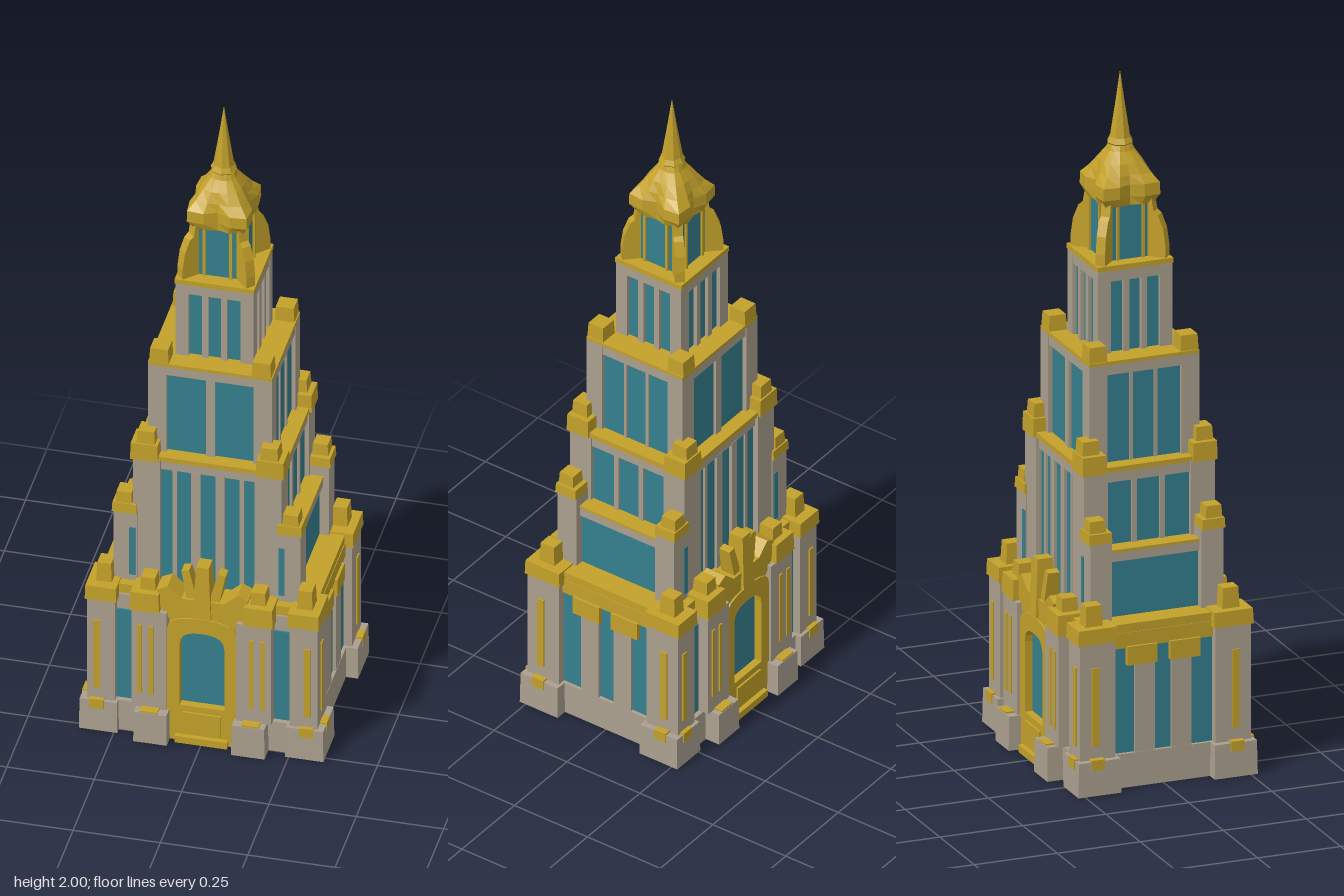
import * as THREE from 'three';

export function createModel() {
  const tower = new THREE.Group();
  tower.name = 'tower';
  const mat = (name, color) => {
    const m = new THREE.MeshStandardMaterial({ color });
    m.name = name;
    return m;
  };
  const stone = mat('stone', 0xaca08f);
  const gold = mat('gold', 0xc3a12a);
  const teal = mat('teal glass', 0x35808e);

  // Adds a faceted mesh
  const add = (parent, name, geo, material) => {
    const g = geo.index ? geo.toNonIndexed() : geo;
    g.computeVertexNormals();
    const m = new THREE.Mesh(g, material);
    m.name = name;
    parent.add(m);
    return m;
  };
  // Box from extents, with optional narrowing toward the top
  const box = (name, material, [x0, x1], [y0, y1], [z0, z1], taper = 1, parent = tower) => {
    const g = new THREE.BoxGeometry(x1 - x0, y1 - y0, z1 - z0);
    const p = g.attributes.position;
    for (let i = 0; i < p.count; i++) {
      if (p.getY(i) > 0) p.setXYZ(i, p.getX(i) * taper, p.getY(i), p.getZ(i) * taper);
    }
    const m = add(parent, name, g, material);
    m.position.set((x0 + x1) / 2, (y0 + y1) / 2, (z0 + z1) / 2);
    return m;
  };
  const core = (name, material, x, y, z) => box(name, material, [-x, x], y, [-z, z]);
  const flip = ([a, b], s) => (s > 0 ? [a, b] : [-b, -a]);
  // The same box in all four quadrants
  const quad = (name, material, x, y, z, taper) => {
    for (const sx of [1, -1]) for (const sz of [1, -1]) box(name, material, flip(x, sx), y, flip(z, sz), taper);
  };
  // The same box on front and back, or on left and right
  const frontBack = (name, material, x, y, z) => [1, -1].forEach(s => box(name, material, x, y, flip(z, s)));
  const sides = (name, material, x, y, z) => [1, -1].forEach(s => box(name, material, flip(x, s), y, z));

  // Ground storey
  core('groundBody', stone, 0.3, [0, 0.45], 0.23);
  core('groundRoof', gold, 0.31, [0.45, 0.48], 0.225);
  sides('sidePlinth', stone, [0.29, 0.315], [0, 0.1], [-0.16, 0.16]);
  sides('sideWindow', teal, [0.3, 0.305], [0.1, 0.41], [-0.155, 0.155]);
  sides('sideBand', gold, [0.29, 0.312], [0.41, 0.455], [-0.155, 0.155]);
  quad('sideMullion', stone, [0.29, 0.314], [0.1, 0.38], [0.025, 0.085]);
  quad('sideCapital', gold, [0.29, 0.32], [0.36, 0.415], [0.02, 0.11]);
  quad('frontWindow', teal, [0.2, 0.255], [0.1, 0.4], [0.228, 0.235]);
  quad('frontWindowSill', stone, [0.18, 0.26], [0, 0.1], [0.2, 0.25]);

  // Corner piers
  quad('cornerPlinth', stone, [0.24, 0.35], [0, 0.1], [0.14, 0.27], 0.97);
  quad('cornerPier', stone, [0.25, 0.33], [0.1, 0.44], [0.15, 0.258]);
  quad('cornerCap', gold, [0.245, 0.335], [0.44, 0.485], [0.145, 0.264], 0.97);
  quad('cornerPinnacle', gold, [0.265, 0.31], [0.48, 0.545], [0.18, 0.232], 0.88);
  quad('cornerStripe', gold, [0.292, 0.31], [0.14, 0.37], [0.257, 0.262]);
  quad('cornerSideStripe', gold, [0.329, 0.334], [0.14, 0.37], [0.2, 0.222]);
  quad('cornerFoot', gold, [0.28, 0.32], [0.075, 0.105], [0.257, 0.271]);
  quad('cornerSideFoot', gold, [0.33, 0.35], [0.075, 0.105], [0.19, 0.23]);

  // Piers beside the portals
  quad('portalPlinth', stone, [0.092, 0.188], [0, 0.1], [0.2, 0.297], 0.97);
  quad('portalPier', stone, [0.1, 0.2], [0.1, 0.43], [0.2, 0.268]);
  quad('portalPierCap', gold, [0.12, 0.205], [0.43, 0.49], [0.18, 0.272], 0.95);
  quad('portalPinnacle', gold, [0.135, 0.18], [0.48, 0.53], [0.2, 0.25], 0.9);
  quad('portalStripe', gold, [0.137, 0.15], [0.15, 0.38], [0.267, 0.272]);
  quad('portalStripe', gold, [0.17, 0.183], [0.15, 0.38], [0.267, 0.272]);
  quad('portalFoot', gold, [0.12, 0.17], [0.075, 0.105], [0.268, 0.294]);

  // Arched portal with canopy and crest, on front and back
  const archPath = (P, w, y0, top) => {
    const p = new P();
    p.moveTo(-w, y0);
    p.lineTo(w, y0);
    p.lineTo(w, top - 0.045);
    p.bezierCurveTo(w, top - 0.01, w * 0.6, top, 0, top);
    p.bezierCurveTo(-w * 0.6, top, -w, top - 0.01, -w, top - 0.045);
    p.lineTo(-w, y0);
    return p;
  };
  const extrude = (shape, depth) =>
    new THREE.ExtrudeGeometry(shape, { depth, bevelEnabled: false, curveSegments: 5 });
  for (const turn of [0, Math.PI]) {
    const portal = new THREE.Group();
    portal.name = 'portal';
    portal.rotation.y = turn;
    tower.add(portal);
    const frame = archPath(THREE.Shape, 0.1, 0, 0.42);
    frame.holes.push(archPath(THREE.Path, 0.064, 0.12, 0.372));
    add(portal, 'portalFrame', extrude(frame, 0.035), gold).position.z = 0.225;
    add(portal, 'portalGlass', extrude(archPath(THREE.Shape, 0.064, 0.12, 0.372), 0.008), teal).position.z = 0.229;
    box('doorPanel', gold, [-0.055, 0.055], [0.03, 0.1], [0.25, 0.266], 1, portal);
    box('doorStep', gold, [-0.075, 0.075], [0, 0.022], [0.25, 0.275], 1, portal);
    const swag = new THREE.Shape([
      [-0.13, 0.5], [-0.12, 0.44], [-0.09, 0.4], [-0.05, 0.39], [0.05, 0.39], [0.09, 0.4],
      [0.12, 0.44], [0.13, 0.5], [0.1, 0.515], [0.06, 0.48], [-0.06, 0.48], [-0.1, 0.515],
    ].map(([x, y]) => new THREE.Vector2(x, y)));
    add(portal, 'canopy', extrude(swag, 0.065), gold).position.z = 0.19;
    for (const [x, y, h, lean] of [[0, 0.51, 0.17, 0], [-0.038, 0.505, 0.13, 0.22], [0.038, 0.505, 0.13, -0.22]]) {
      const w = x ? 0.016 : 0.026;
      const leaf = box('crestLeaf', gold, [x - w, x + w], [y - h / 2, y + h / 2], [0.2, x ? 0.25 : 0.265], 0.7, portal);
      leaf.rotation.z = lean;
    }
  }

  // Second storey: side steps
  core('secondGlass', teal, 0.24, [0.48, 0.66], 0.145);
  core('secondLintel', stone, 0.25, [0.645, 0.672], 0.15);
  core('secondRoof', gold, 0.252, [0.672, 0.68], 0.152);
  quad('secondPier', stone, [0.2, 0.268], [0.47, 0.71], [0.135, 0.2]);
  quad('secondCap', gold, [0.2, 0.272], [0.71, 0.74], [0.135, 0.205], 0.95);
  quad('secondPinnacle', gold, [0.215, 0.262], [0.735, 0.775], [0.15, 0.2], 0.9);
  quad('secondSlit', teal, [0.205, 0.222], [0.5, 0.66], [0.199, 0.203]);

  // Third storey
  core('thirdGlass', teal, 0.2, [0.48, 0.88], 0.18);
  core('thirdLintel', stone, 0.208, [0.865, 0.895], 0.188);
  core('thirdRoof', gold, 0.212, [0.895, 0.91], 0.194);
  quad('thirdPier', stone, [0.135, 0.213], [0.48, 0.9], [0.125, 0.197]);
  quad('thirdCap', gold, [0.14, 0.22], [0.895, 0.95], [0.13, 0.203], 0.96);
  quad('thirdPinnacle', gold, [0.15, 0.203], [0.945, 0.99], [0.145, 0.197], 0.9);
  quad('thirdMullion', stone, [0.022, 0.048], [0.48, 0.87], [0.17, 0.189]);
  quad('thirdThinMullion', stone, [0.09, 0.102], [0.48, 0.87], [0.17, 0.186]);
  quad('thirdSideMullion', stone, [0.19, 0.207], [0.67, 0.87], [0.035, 0.05]);

  // Fourth storey
  core('fourthGlass', teal, 0.166, [0.9, 1.18], 0.152);
  core('fourthLintel', stone, 0.176, [1.17, 1.2], 0.162);
  core('fourthRoof', gold, 0.178, [1.2, 1.21], 0.165);
  quad('fourthPier', stone, [0.125, 0.178], [0.9, 1.2], [0.112, 0.165]);
  quad('fourthPinnacle', gold, [0.118, 0.175], [1.2, 1.255], [0.11, 0.165], 0.9);
  frontBack('fourthMullion', stone, [-0.013, 0.013], [0.9, 1.18], [0.14, 0.16]);
  quad('fourthSideMullion', stone, [0.15, 0.171], [0.91, 1.18], [0.032, 0.042]);

  // Fifth storey: three slender windows per face
  core('fifthGlass', teal, 0.1, [1.2, 1.43], 0.1);
  core('fifthLintel', stone, 0.111, [1.42, 1.452], 0.111);
  core('fifthRoof', gold, 0.114, [1.452, 1.467], 0.114);
  quad('fifthPier', stone, [0.074, 0.112], [1.2, 1.45], [0.074, 0.112]);
  quad('fifthMullion', stone, [0.018, 0.036], [1.2, 1.43], [0.09, 0.111]);
  quad('fifthSideMullion', stone, [0.09, 0.111], [1.2, 1.43], [0.018, 0.036]);

  // Lantern with scrolled corner buttresses
  core('lanternGlass', teal, 0.073, [1.46, 1.65], 0.073);
  quad('lanternMullion', gold, [0.034, 0.042], [1.46, 1.64], [0.065, 0.08]);
  quad('lanternSideMullion', gold, [0.065, 0.08], [1.46, 1.64], [0.034, 0.042]);
  const scroll = new THREE.Shape([
    [0.07, 1.46], [0.143, 1.46], [0.143, 1.5], [0.136, 1.55], [0.12, 1.59], [0.107, 1.6], [0.1, 1.64], [0.07, 1.64],
  ].map(([r, y]) => new THREE.Vector2(r, y)));
  for (let i = 0; i < 4; i++) {
    const geo = extrude(scroll, 0.028).translate(0, 0, -0.014);
    add(tower, 'lanternButtress', geo, gold).rotation.y = Math.PI / 4 + i * Math.PI / 2;
  }

  // Four-lobed dome: each ring is height, radius, lobe strength
  const rings = [
    [1.625, 0, 0], [1.625, 0.088, 0.16], [1.65, 0.098, 0.24], [1.685, 0.097, 0.24], [1.71, 0.08, 0.15],
    [1.74, 0.062, 0.08], [1.77, 0.04, 0.05], [1.785, 0.034, 0], [1.79, 0, 0],
  ];
  const dome = new THREE.LatheGeometry(rings.map(([y, r]) => new THREE.Vector2(r, y)), 16);
  const p = dome.attributes.position;
  for (let i = 0; i < p.count; i++) {
    const lobe = rings[i % rings.length][2];
    const s = 1 - lobe * Math.cos(4 * Math.atan2(p.getX(i), p.getZ(i)));
    p.setXYZ(i, p.getX(i) * s, p.getY(i), p.getZ(i) * s);
  }
  add(tower, 'dome', dome, gold);

  // Spire
  const spire = [[0.026, 1.775], [0.038, 1.79], [0.03, 1.805], [0.014, 1.905], [0, 2]];
  add(tower, 'spire', new THREE.LatheGeometry(spire.map(([r, y]) => new THREE.Vector2(r, y)), 8), gold);
  return tower;
}
